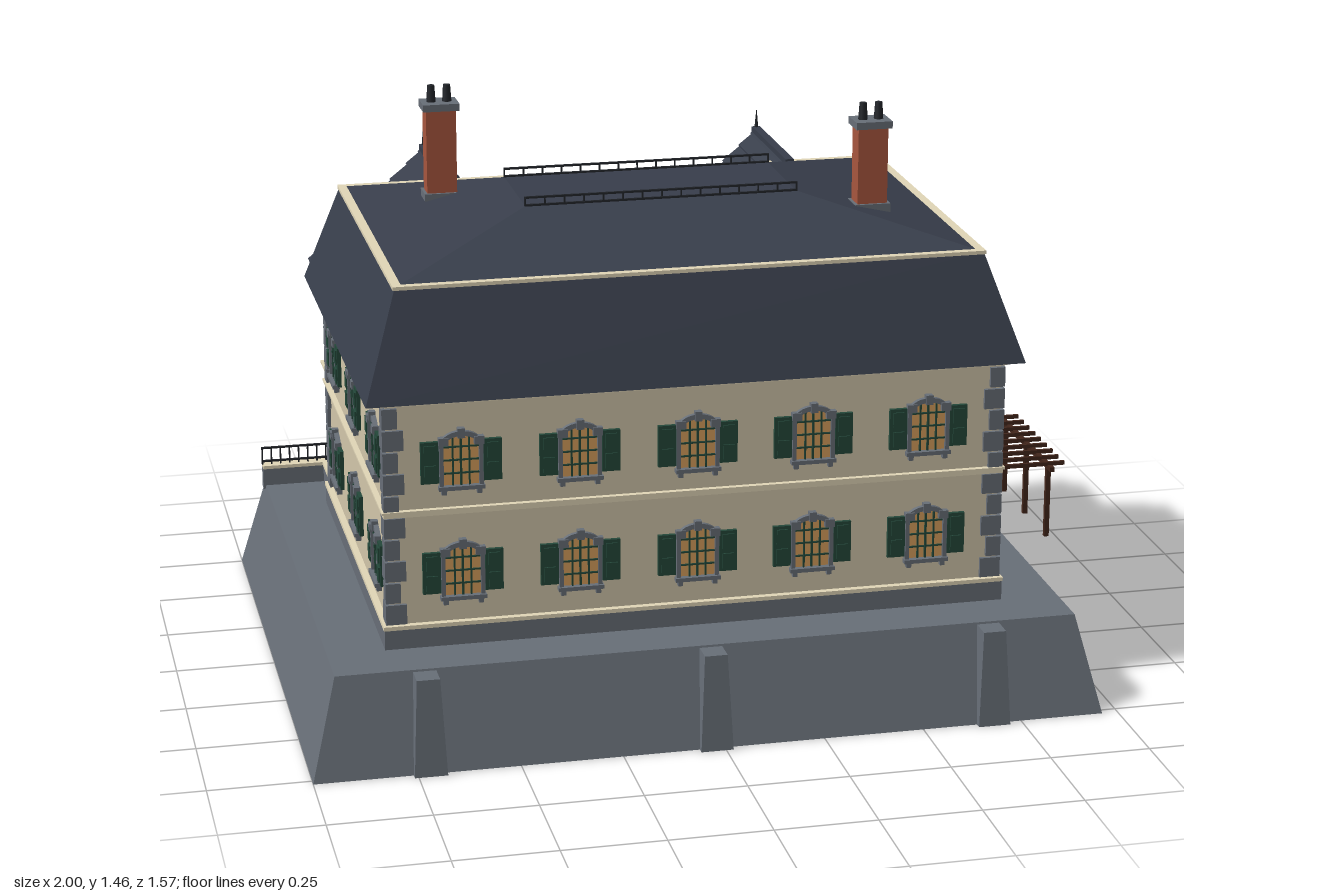
import * as THREE from 'three';
import { ConvexGeometry } from 'three/addons/geometries/ConvexGeometry.js';

const mat = (name, color, extra = {}) => Object.assign(new THREE.MeshStandardMaterial({ color, ...extra }), { name });
const M = {
  wall: mat('plaster', 0xd3c7ab),
  trim: mat('creamTrim', 0xe2d7b8),
  stone: mat('stone', 0x686f78),
  roof: mat('slate', 0x383e4b),
  brick: mat('brick', 0xa9573f),
  green: mat('shutterGreen', 0x24483a),
  glass: mat('warmGlass', 0xd9a05e),
  wood: mat('darkTimber', 0x42261b),
  iron: mat('iron', 0x23262b),
};

function add(parent, name, geo, m) {
  const mesh = new THREE.Mesh(geo, m);
  mesh.name = name;
  parent.add(mesh);
  return mesh;
}
function group(parent, name) {
  const g = new THREE.Group();
  g.name = name;
  parent.add(g);
  return g;
}
// box from its limits
function box(parent, name, m, x0, x1, y0, y1, z0, z1) {
  const b = add(parent, name, new THREE.BoxGeometry(x1 - x0, y1 - y0, z1 - z0), m);
  b.position.set((x0 + x1) / 2, (y0 + y1) / 2, (z0 + z1) / 2);
  return b;
}
// solid between two rectangles [x0, x1, z0, z1]
function frustum(parent, name, m, a, ya, b, yb) {
  const pts = [];
  for (const [r, y] of [[a, ya], [b, yb]])
    for (const x of [r[0], r[1]]) for (const z of [r[2], r[3]]) pts.push(new THREE.Vector3(x, y, z));
  return add(parent, name, new ConvexGeometry(pts), m);
}
function beam(parent, name, m, x0, y0, x1, y1, z, w, d) {
  const b = add(parent, name, new THREE.BoxGeometry(Math.hypot(x1 - x0, y1 - y0), w, d), m);
  b.position.set((x0 + x1) / 2, (y0 + y1) / 2, z);
  b.rotation.z = Math.atan2(y1 - y0, x1 - x0);
}
function railing(parent, name, x0, x1, y, h, z, n) {
  const g = group(parent, name);
  for (const t of [0.25, 1]) box(g, 'rail', M.iron, x0, x1, y + h * t - 0.005, y + h * t, z - 0.003, z + 0.003);
  for (let i = 0; i <= n; i++) {
    const x = x0 + (x1 - x0) * i / n;
    box(g, 'baluster', M.iron, x - 0.002, x + 0.002, y, y + h, z - 0.002, z + 0.002);
  }
}

// segmental-arched outline
function arch(target, w, bottom, spring, top) {
  target.moveTo(-w, bottom);
  target.lineTo(w, bottom);
  target.lineTo(w, spring);
  target.quadraticCurveTo(w * 0.7, top, 0, top);
  target.quadraticCurveTo(-w * 0.7, top, -w, spring);
  target.closePath();
  return target;
}
const paneGeo = new THREE.ShapeGeometry(arch(new THREE.Shape(), 0.044, -0.064, 0.042, 0.065), 6);
const frameShape = arch(new THREE.Shape(), 0.053, -0.066, 0.048, 0.076);
frameShape.holes.push(arch(new THREE.Path(), 0.043, -0.06, 0.042, 0.064));
const frameGeo = new THREE.ExtrudeGeometry(frameShape, { depth: 0.012, bevelEnabled: false, curveSegments: 6 });

// window with stone surround and open shutters, facing +z
function windowUnit(parent, x, y, z, turn) {
  const g = group(parent, 'window');
  g.position.set(x, y, z);
  g.rotation.y = turn;
  add(g, 'panes', paneGeo, M.glass).position.z = 0.003;
  add(g, 'surround', frameGeo, M.stone);
  for (const s of [-1, 0, 1]) box(g, 'mullion', M.green, s * 0.02 - 0.002 - (s ? 0 : 0.001), s * 0.02 + 0.002, -0.062, 0.06, 0.003, 0.008);
  for (const h of [-0.03, 0.003, 0.036]) box(g, 'glazingBar', M.green, -0.044, 0.044, h - 0.002, h + 0.002, 0.003, 0.007);
  box(g, 'sill', M.stone, -0.056, 0.056, -0.07, -0.06, 0, 0.018);
  box(g, 'keystone', M.stone, -0.009, 0.009, 0.06, 0.084, 0, 0.017);
  for (const s of [-1, 1]) {
    const b = s * 0.043;
    box(g, 'sillBracket', M.stone, b - 0.006, b + 0.006, -0.082, -0.07, 0, 0.013);
    box(g, 'springer', M.stone, b - 0.012, b + 0.012, 0.042, 0.062, 0, 0.016);
    const c = s * 0.076;
    box(g, 'shutter', M.green, c - 0.022, c + 0.022, -0.052, 0.052, 0, 0.01);
    for (const h of [-0.025, 0.025]) box(g, 'shutterPanel', M.green, c - 0.014, c + 0.014, h - 0.019, h + 0.019, 0.009, 0.014);
  }
}

const X0 = -0.78, X1 = 0.74, Z0 = -0.485, Z1 = 0.56, CX = -0.022;
const WINGS = [-0.48, 0.437];

function buildPlinth(root) {
  const g = group(root, 'plinth');
  frustum(g, 'slopedBase', M.stone, [-1, 0.96, -0.76, 0.77], 0, [-0.935, 0.9, -0.7, 0.71], 0.245);
  for (const x of [-0.72, CX, 0.677]) {
    frustum(g, 'frontButtress', M.stone, [x - 0.04, x + 0.04, 0.65, 0.787], 0, [x - 0.028, x + 0.028, 0.65, 0.768], 0.24);
    if (x !== CX) frustum(g, 'backButtress', M.stone, [x - 0.04, x + 0.04, -0.765, -0.65], 0, [x - 0.028, x + 0.028, -0.742, -0.65], 0.24);
  }
}

function buildWalls(root) {
  const g = group(root, 'walls');
  const blocks = [[X0, X1, Z0, Z1], ...WINGS.map(c => [c - 0.285, c + 0.285, -0.645, -0.45])];
  for (const [a, b, c, d] of blocks) {
    const course = (name, m, y0, y1, o) => box(g, name, m, a - o, b + o, y0, y1, c - o, d + o);
    course('footing', M.stone, 0.24, 0.294, 0.014);
    course('baseMoulding', M.trim, 0.294, 0.304, 0.016);
    course('storeyBand', M.trim, 0.578, 0.588, 0.01);
    course('storeyBandLip', M.trim, 0.588, 0.594, 0.014);
    course('cornice', M.trim, 0.857, 0.868, 0.012);
  }
  box(g, 'mainWalls', M.wall, X0, X1, 0.25, 0.87, Z0, Z1);
  // corner quoins, alternately long and short
  for (const x of [X0, X1]) for (const z of [Z0, Z1]) for (let i = 0; i < 10; i++) {
    const y = 0.306 + i * 0.055, w = i % 2 ? 0.028 : 0.042, sx = x < 0 ? 1 : -1, sz = z < 0 ? 1 : -1;
    const xs = [x - sx * 0.009, x + sx * w].sort((p, q) => p - q);
    const zs = [z - sz * 0.009, z + sz * w].sort((p, q) => p - q);
    box(g, 'quoin', M.stone, ...xs, y, y + 0.05, ...zs);
  }
  for (const y of [0.43, 0.71]) {
    for (const x of [-0.6, -0.312, CX, 0.266, 0.556]) windowUnit(g, x, y, Z1, 0);
    for (const z of [0.397, 0.04, -0.313]) {
      windowUnit(g, X1, y, z, Math.PI / 2);
      windowUnit(g, X0, y, z, -Math.PI / 2);
    }
    for (const c of WINGS) for (const s of [-0.13, 0.13]) windowUnit(g, c + s, y, -0.645, Math.PI);
  }
  windowUnit(g, CX, 0.71, Z0, Math.PI);
}

function buildMainRoof(root) {
  const g = group(root, 'mansardRoof');
  const brk = [-0.742, 0.704, -0.445, 0.509], top = [-0.367, 0.319, -0.11, 0.177];
  frustum(g, 'lowerSlope', M.roof, [-0.83, 0.79, -0.535, 0.6], 0.868, brk, 1.13);
  frustum(g, 'upperSlope', M.roof, brk, 1.13, top, 1.22);
  box(g, 'breakMoulding', M.trim, brk[0] - 0.005, brk[1] + 0.005, 1.125, 1.134, brk[2] - 0.005, brk[3] + 0.005);
  for (const z of [top[2], top[3]]) railing(g, 'ridgeCresting', top[0], top[1], 1.218, 0.026, z, 14);
}

function buildWing(root, c) {
  const g = group(root, 'gabledWing');
  g.position.x = c;
  const s = new THREE.Shape([[-0.285, 0.25], [0.285, 0.25], [0.285, 0.872], [0, 1.134], [-0.285, 0.872]].map(p => new THREE.Vector2(...p)));
  add(g, 'wingWalls', new THREE.ExtrudeGeometry(s, { depth: 0.2, bevelEnabled: false }), M.wall).position.z = -0.645;
  // overlapping slate courses
  const n = 7, dx = 0.315, dy = 0.29, L = Math.hypot(dx, dy), slope = Math.atan2(dy, dx);
  for (const side of [-1, 1]) for (let i = 0; i < n; i++) {
    const t = (i + 0.5) / n, back = i === n - 1 ? -0.34 : -0.42;
    const b = add(g, 'slateCourse', new THREE.BoxGeometry(L / n * 1.12, 0.016, back + 0.71), M.roof);
    b.position.set(side * dx * (1 - t) - side * 0.006, 0.865 + dy * t - 0.005, (back - 0.71) / 2);
    b.rotation.z = -side * (slope - 0.08);
  }
  box(g, 'ridgeCap', M.roof, -0.011, 0.011, 1.145, 1.164, -0.71, -0.34);
  const finial = add(g, 'finial', new THREE.ConeGeometry(0.006, 0.06, 6), M.iron);
  finial.position.set(0, 1.188, -0.702);
  // half-timbered gable
  const z = -0.648, d = 0.016;
  beam(g, 'tieBeam', M.wood, -0.285, 0.878, 0.285, 0.878, z, 0.02, d);
  beam(g, 'collarBeam', M.wood, -0.165, 0.98, 0.165, 0.98, z, 0.016, d - 0.002);
  beam(g, 'kingPost', M.wood, 0, 0.878, 0, 1.125, z, 0.018, d - 0.004);
  for (const k of [-1, 1]) {
    beam(g, 'rafter', M.wood, k * 0.285, 0.868, 0, 1.128, z, 0.018, d - 0.006);
    beam(g, 'strut', M.wood, k * 0.13, 0.878, k * 0.01, 0.975, z, 0.014, d - 0.006);
  }
}

function buildChimney(root, x, z, top) {
  const g = group(root, 'chimney');
  g.position.set(x, 0, z);
  box(g, 'flashing', M.stone, -0.045, 0.045, 1.15, 1.19, -0.035, 0.035);
  box(g, 'stack', M.brick, -0.038, 0.038, 1.15, top - 0.015, -0.028, 0.028);
  box(g, 'cap', M.stone, -0.046, 0.046, top - 0.018, top, -0.038, 0.038);
  for (const k of [-0.02, 0.02]) add(g, 'pot', new THREE.CylinderGeometry(0.009, 0.012, 0.045, 10), M.iron).position.set(k, top + 0.02, 0);
}

function buildEntrance(root) {
  const g = group(root, 'entrance');
  box(g, 'porchFloor', M.stone, -0.2, 0.155, 0.245, 0.3, -0.665, Z0);
  for (let i = 0; i < 3; i++) box(g, 'step', M.stone, -0.14, 0.1, 0.235, 0.284 - i * 0.016, -0.69 - i * 0.03, -0.66);
  for (const x of [-0.165, 0.1]) box(g, 'stairCheek', M.stone, x, x + 0.03, 0.235, 0.315, -0.785, -0.66);
  // gate piers with lanterns
  for (const x of [-0.198, 0.154]) {
    box(g, 'pier', M.stone, x - 0.018, x + 0.018, 0.245, 0.395, -0.698, -0.662);
    box(g, 'pierCap', M.stone, x - 0.023, x + 0.023, 0.395, 0.408, -0.703, -0.657);
    box(g, 'lantern', M.glass, x - 0.009, x + 0.009, 0.408, 0.434, -0.689, -0.671);
    const lid = add(g, 'lanternLid', new THREE.ConeGeometry(0.017, 0.018, 4), M.wood);
    lid.position.set(x, 0.443, -0.68);
    lid.rotation.y = Math.PI / 4;
  }
  // double door
  box(g, 'doorSurround', M.stone, CX - 0.07, CX + 0.07, 0.3, 0.51, Z0 - 0.008, Z0);
  for (const k of [-1, 1]) {
    const x = CX + k * 0.028;
    box(g, 'doorLeaf', M.green, x - 0.027, x + 0.027, 0.3, 0.46, Z0 - 0.014, Z0);
    box(g, 'doorGlass', M.glass, x - 0.016, x + 0.016, 0.375, 0.445, Z0 - 0.017, Z0 - 0.01);
  }
  box(g, 'fanlight', M.glass, CX - 0.055, CX + 0.055, 0.466, 0.495, Z0 - 0.012, Z0);
  // balcony on columns
  box(g, 'balconySlab', M.trim, -0.39, 0.345, 0.572, 0.598, -0.668, Z0);
  box(g, 'balconyBeam', M.trim, -0.2, 0.155, 0.55, 0.572, -0.66, -0.625);
  for (const x of [CX - 0.1, CX + 0.1]) {
    add(g, 'column', new THREE.CylinderGeometry(0.013, 0.016, 0.25, 12), M.trim).position.set(x, 0.425, -0.642);
    box(g, 'columnBase', M.trim, x - 0.021, x + 0.021, 0.3, 0.318, -0.663, -0.621);
    box(g, 'capital', M.trim, x - 0.021, x + 0.021, 0.535, 0.55, -0.663, -0.621);
  }
  railing(g, 'balconyRailing', -0.385, 0.34, 0.598, 0.055, -0.66, 30);
  // terrace parapet
  for (const [a, b, n] of [[-0.942, -0.2, 30], [0.155, 0.897, 30]]) {
    box(g, 'parapet', M.stone, a, b, 0.235, 0.292, -0.697, -0.668);
    box(g, 'parapetCap', M.trim, a, b, 0.292, 0.301, -0.7, -0.665);
    railing(g, 'terraceRailing', a, b, 0.3, 0.05, -0.682, n);
  }
}

function buildPergola(root) {
  const g = group(root, 'pergola');
  for (const x of [0.798, 0.96]) {
    box(g, 'beam', M.wood, x - 0.006, x + 0.006, 0.482, 0.494, -0.095, 0.332);
    for (const z of [0.3, 0.125, -0.05]) box(g, 'post', M.wood, x - 0.006, x + 0.006, 0.298, 0.484, z - 0.006, z + 0.006);
  }
  for (let i = 0; i < 9; i++) {
    const z = -0.072 + i * 0.0475;
    box(g, 'slat', M.wood, 0.757, 1, 0.492, 0.502, z - 0.004, z + 0.004);
  }
}

export function createModel() {
  const root = new THREE.Group();
  root.name = 'manorHouse';
  buildPlinth(root);
  buildWalls(root);
  buildMainRoof(root);
  WINGS.forEach(c => buildWing(root, c));
  buildChimney(root, -0.527, -0.13, 1.42);
  buildChimney(root, 0.5, 0.203, 1.4);
  buildEntrance(root);
  buildPergola(root);
  return root;
}
